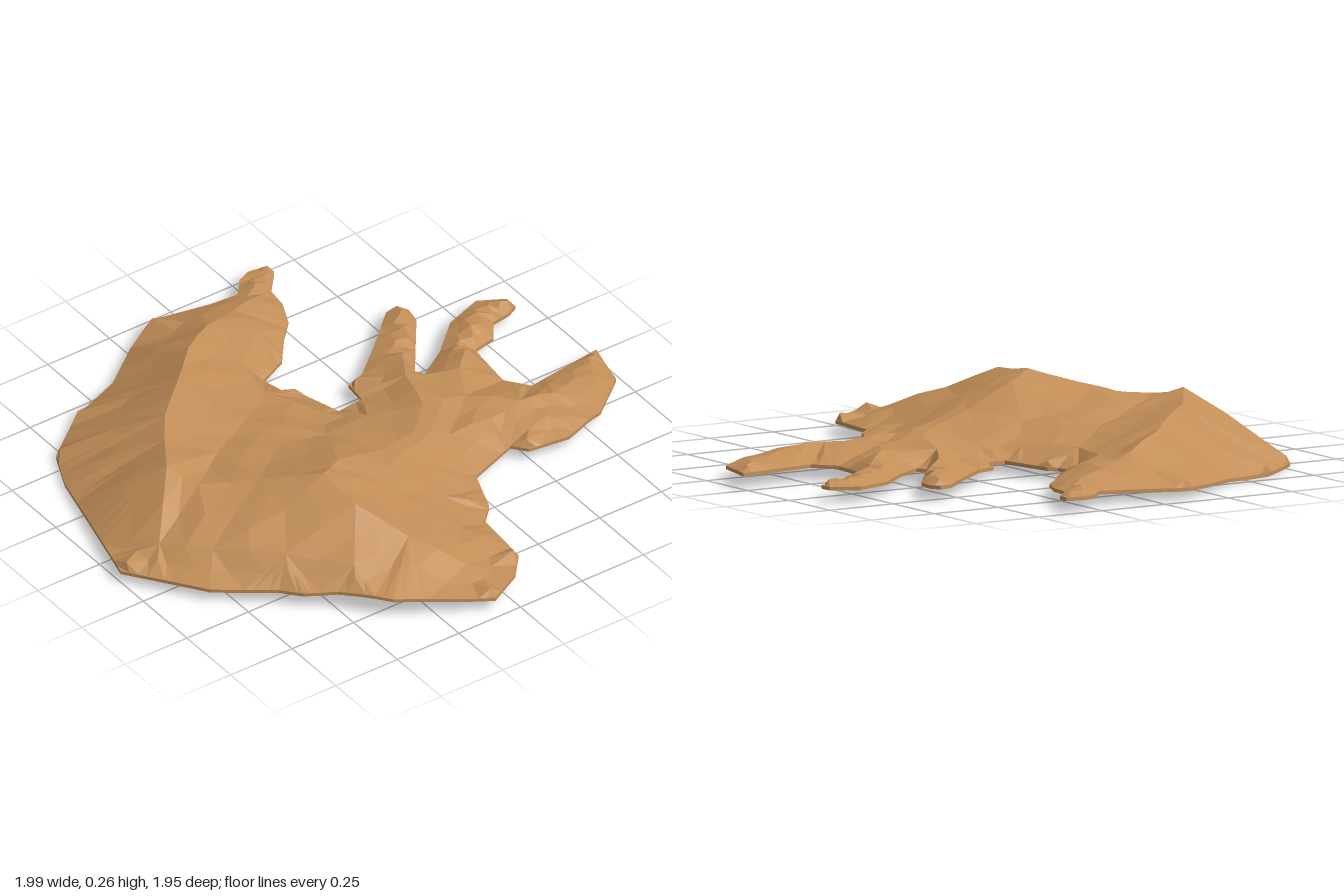
import * as THREE from 'three';

// Shoreline of the landmass, as [x, z]
const OUTLINE = [
  [-1, .12], [-.85, -.41], [-.78, -.56], [-.6, -.7], [-.4, -.77], [-.25, -.88], [-.13, -.95], [-.07, -.95],
  [.1, -.91], [.2, -.9], [.25, -.96], [.3, -.98], [.37, -.97], [.37, -.93], [.3, -.85], [.29, -.77], [.25, -.68],
  [.19, -.62], [.11, -.52], [0, -.47], [.02, -.38], [.05, -.36], [.09, -.22], [.1, -.18], [.2, -.19], [.21, -.28],
  [.28, -.3], [.42, -.42], [.54, -.53], [.59, -.54], [.61, -.5], [.6, -.44], [.43, -.21], [.45, -.18], [.56, -.25],
  [.68, -.36], [.82, -.41], [.91, -.36], [.91, -.31], [.87, -.29], [.8, -.28], [.75, -.21], [.66, -.19], [.64, 0],
  [.7, .08], [.99, .04], [.97, .12], [.95, .21], [.8, .33], [.75, .34], [.64, .38], [.49, .36], [.45, .31],
  [.26, .38], [.2, .54], [.14, .6], [.13, .72], [.12, .82], [.05, .9], [-.08, .97], [-.38, .81], [-.5, .66],
  [-.59, .59], [-.64, .52], [-.82, .38],
];

// Spot heights, as [x, z, y]
const RIDGES = [
  // back ridge and its inner foot
  [-.67, -.08, .215], [-.58, -.22, .2], [-.5, -.33, .2], [-.35, -.47, .19], [-.2, -.62, .17], [-.05, -.72, .14],
  [.1, -.78, .1], [.22, -.82, .08], [.32, -.92, .06], [.1, -.64, .1], [-.05, -.52, .1], [-.08, -.35, .1],
];
const HILLS = [
  // main hill and its slopes
  [-.3, .3, .26], [-.2, .24, .235], [-.3, .48, .24], [-.45, .14, .205], [-.48, .33, .2], [-.62, .03, .185],
  [-.74, .28, .12], [-.57, .46, .14], [-.42, .64, .14], [-.85, .13, .1], [-.1, .4, .17], [-.2, .64, .16],
  [-.08, .8, .09], [.02, .62, .09], [.08, .45, .09], [0, .2, .16], [.1, .28, .12],
  // valley between ridge and hill
  [-.45, -.1, .165], [-.25, -.02, .165], [-.25, -.22, .14], [-.08, 0, .14], [.02, -.16, .09], [.13, -.06, .09],
];
const FINGERS = [
  [.18, .14, .125], [.3, .02, .115], [.28, .2, .105], [.35, -.15, .105], [.42, -.27, .095], [.52, -.4, .08],
  [.45, .05, .1], [.52, -.08, .105], [.6, -.16, .1], [.7, -.27, .09], [.82, -.34, .075],
  [.45, .2, .1], [.58, .18, .105], [.7, .2, .095], [.82, .16, .08], [.62, .28, .085],
];

const bump = (x, z, cx, cz, s) => Math.exp(-((x - cx) ** 2 + (z - cz) ** 2) / s);
// Gently warped underside, dipping at the back right
const baseY = (x, z) => .04 - .04 * bump(x, z, -.65, -.6, .35) + .03 * bump(x, z, -.42, .78, .06);

function resample(loop, step) {
  return loop.flatMap(([x, z], i) => {
    const [u, w] = loop[(i + 1) % loop.length];
    const n = Math.ceil(Math.hypot(u - x, w - z) / step);
    return Array.from({ length: n }, (_, k) => [x + (u - x) * k / n, z + (w - z) * k / n]);
  });
}

function inside(x, z, loop) {
  let hit = false;
  loop.forEach(([ax, az], i) => {
    const [bx, bz] = loop[(i + 1) % loop.length];
    if ((az > z) !== (bz > z) && x < ax + (bx - ax) * (z - az) / (bz - az)) hit = !hit;
  });
  return hit;
}

// Incremental Delaunay triangulation of [x, z] points
function delaunay(points) {
  const n = points.length;
  const p = [...points, [-60, -50], [60, -50], [0, 70]];
  const make = (a, b, c) => {
    const [ax, az] = p[a];
    const bx = p[b][0] - ax, bz = p[b][1] - az, cx = p[c][0] - ax, cz = p[c][1] - az;
    const d = 2 * (bx * cz - bz * cx), bb = bx * bx + bz * bz, cc = cx * cx + cz * cz;
    const x = (cz * bb - bz * cc) / d, z = (bx * cc - cx * bb) / d;
    return { v: [a, b, c], x: ax + x, z: az + z, r: x * x + z * z };
  };
  let tris = [make(n, n + 1, n + 2)];
  for (let i = 0; i < n; i++) {
    const edges = new Map();
    tris = tris.filter((t) => {
      if ((p[i][0] - t.x) ** 2 + (p[i][1] - t.z) ** 2 >= t.r) return true;
      t.v.forEach((a, k) => {
        const b = t.v[(k + 1) % 3];
        if (!edges.delete(`${b},${a}`)) edges.set(`${a},${b}`, [a, b]);
      });
      return false;
    });
    for (const [a, b] of edges.values()) tris.push(make(a, b, i));
  }
  return tris.map((t) => t.v).filter((v) => v.every((k) => k < n));
}

function meshFrom(name, positions, material) {
  const geometry = new THREE.BufferGeometry();
  geometry.setAttribute('position', new THREE.Float32BufferAttribute(positions, 3));
  geometry.computeVertexNormals();
  const mesh = new THREE.Mesh(geometry, material);
  mesh.name = name;
  return mesh;
}

export function createModel() {
  const group = new THREE.Group();
  group.name = 'landmass';
  const material = new THREE.MeshStandardMaterial({ color: 0xc28e58, flatShading: true, side: THREE.DoubleSide });

  const rim = resample(OUTLINE, .065);
  const count = rim.length;
  const nodes = [
    ...rim.map(([x, z]) => [x, baseY(x, z) + .012, z]),
    ...[...RIDGES, ...HILLS, ...FINGERS].map(([x, z, y]) => [x, y, z]),
  ];
  const tris = delaunay(nodes.map(([x, , z]) => [x, z])).filter((t) => {
    const [x, z] = [0, 2].map((k) => (nodes[t[0]][k] + nodes[t[1]][k] + nodes[t[2]][k]) / 3);
    return inside(x, z, OUTLINE);
  }).map(([a, b, c]) => {
    // wind every triangle to face up
    const [A, B, C] = [nodes[a], nodes[b], nodes[c]];
    const up = (B[2] - A[2]) * (C[0] - A[0]) - (B[0] - A[0]) * (C[2] - A[2]) > 0;
    return up ? [a, b, c] : [a, c, b];
  });

  // Edge midpoints are roughened; shoreline edges stay straight
  const midpoint = (a, b) => {
    const [A, B] = [nodes[a], nodes[b]];
    const m = A.map((v, k) => (v + B[k]) / 2);
    const gap = Math.abs(a - b);
    const bothRim = a < count && b < count;
    if (bothRim && (gap === 1 || gap === count - 1)) return m;
    const length = Math.hypot(A[0] - B[0], A[2] - B[2]);
    const noise = Math.sin((a + b) * 12.9 + a * b * 7.3);
    m[1] += bothRim ? Math.min(.025, length * .25) : noise * Math.min(.008, length * .06);
    return m;
  };

  // Faceted terrain
  const top = [];
  for (const [a, b, c] of tris) {
    const [A, B, C] = [nodes[a], nodes[b], nodes[c]];
    const [ab, bc, ca] = [midpoint(a, b), midpoint(b, c), midpoint(c, a)];
    top.push(A, ab, ca, ab, B, bc, ca, bc, C, ab, bc, ca);
  }
  group.add(meshFrom('terrain', top.flat(), material));

  // Underside
  const low = ([x, , z]) => [x, baseY(x, z), z];
  const under = tris.flatMap(([a, b, c]) => [a, c, b].map((k) => low(nodes[k])));
  group.add(meshFrom('underside', under.flat(), material));

  // Thin shoreline wall
  const wall = [];
  for (let i = 0; i < count; i++) {
    const A = nodes[i], B = nodes[(i + 1) % count];
    wall.push(A, B, low(A), B, low(B), low(A));
  }
  group.add(meshFrom('shoreline', wall.flat(), material));
  return group;
}
